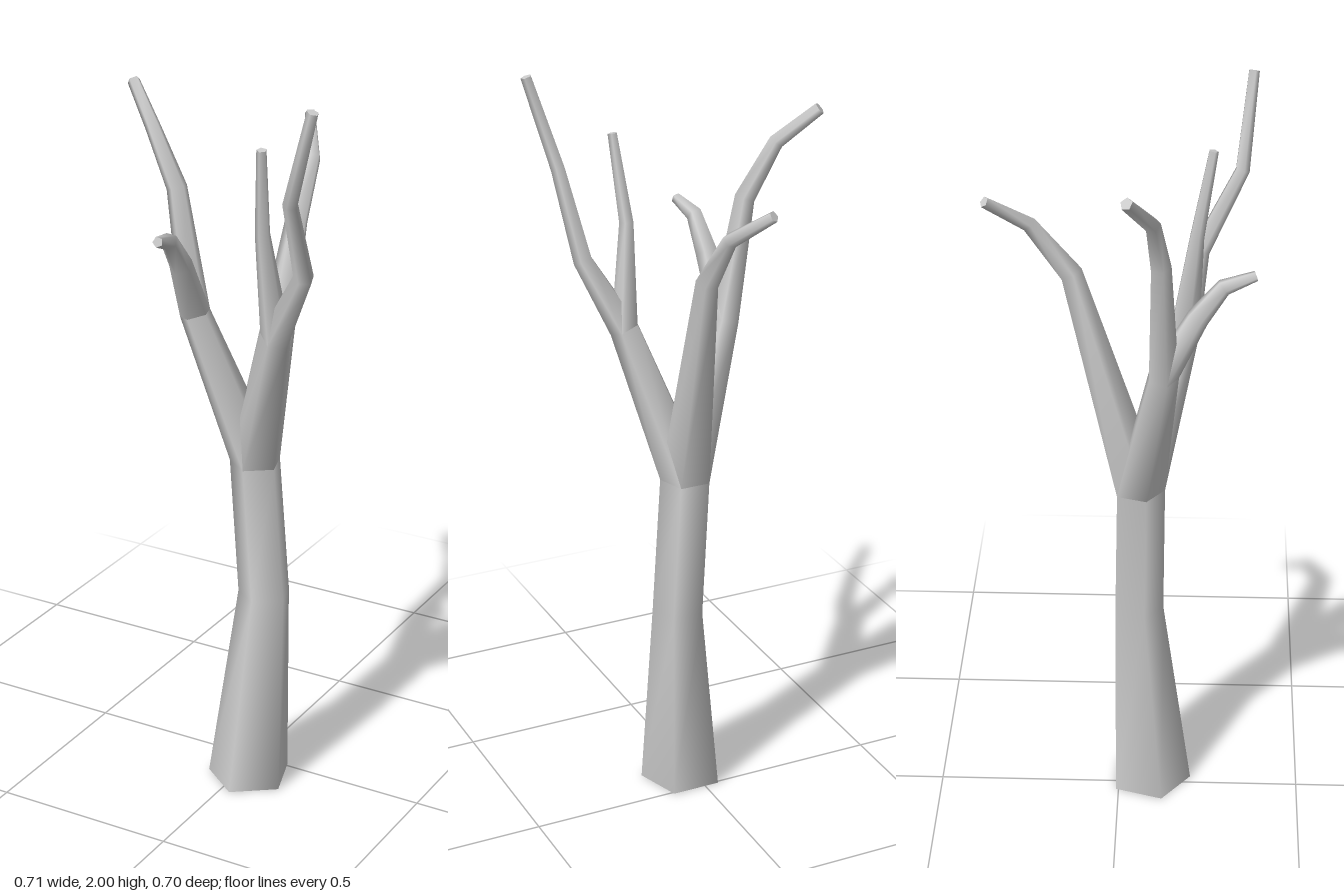
import * as THREE from 'three';

const SIDES = 5;
const UP = new THREE.Vector3(0, 1, 0);

// One pentagonal cross-section, perpendicular to dir, with a corner towards +z
function ring([x, y, z, r], dir) {
  const turn = new THREE.Quaternion().setFromUnitVectors(UP, dir);
  const centre = new THREE.Vector3(x, y, z);
  const points = [];
  for (let i = 0; i < SIDES; i++) {
    const a = (i / SIDES) * Math.PI * 2;
    points.push(new THREE.Vector3(Math.sin(a) * r, 0, Math.cos(a) * r).applyQuaternion(turn).add(centre));
  }
  return { points, centre };
}

// Rings along a path of [x, y, z, radius], continuing from an existing ring
function grow(start, path) {
  const centres = [start.centre, ...path.map(([x, y, z]) => new THREE.Vector3(x, y, z))];
  const rings = [start];
  path.forEach((p, k) => {
    const i = k + 1;
    const dir = centres[i].clone().sub(centres[i - 1]).normalize();
    if (i < centres.length - 1) dir.add(centres[i + 1].clone().sub(centres[i]).normalize()).normalize();
    rings.push(ring(p, dir));
  });
  return rings;
}

// Smooth skin over the rings, with optional flat end caps
function skin(name, rings, capStart, capEnd) {
  const position = [];
  const index = [];
  const add = (v) => position.push(v.x, v.y, v.z) / 3 - 1;
  rings.forEach((r) => r.points.forEach(add));
  for (let k = 0; k < rings.length - 1; k++) {
    for (let i = 0; i < SIDES; i++) {
      const j = (i + 1) % SIDES;
      const a = k * SIDES + i, b = k * SIDES + j;
      index.push(a, b, b + SIDES, a, b + SIDES, a + SIDES);
    }
  }
  const cap = (r, flip) => {
    const first = position.length / 3;
    r.points.forEach(add);
    for (let i = 1; i < SIDES - 1; i++) {
      if (flip) index.push(first, first + i + 1, first + i);
      else index.push(first, first + i, first + i + 1);
    }
  };
  if (capStart) cap(rings[0], true);
  if (capEnd) cap(rings[rings.length - 1], false);
  const geometry = new THREE.BufferGeometry();
  geometry.setAttribute('position', new THREE.Float32BufferAttribute(position, 3));
  geometry.setIndex(index);
  geometry.computeVertexNormals();
  const mesh = new THREE.Mesh(geometry, new THREE.MeshStandardMaterial({ color: 0xcccccc }));
  mesh.name = name;
  return mesh;
}

export function createModel() {
  const tree = new THREE.Group();
  tree.name = 'bareTree';

  // Trunk, ending at the level ring where the limbs part
  const trunk = [
    ring([0.028, 0, 0.086, 0.115], UP),
    ring([0.053, 0.55, 0.048, 0.072], UP),
    ring([0.028, 0.93, 0.052, 0.07], UP),
  ];
  tree.add(skin('trunk', trunk, true, false));
  const crown = trunk[2];

  // Three main limbs
  const rightLimb = grow(crown, [
    [-0.115, 1.34, 0.115, 0.042], [-0.17, 1.67, 0.108, 0.028],
    [-0.25, 1.815, 0.09, 0.021], [-0.343, 1.908, 0.03, 0.017],
  ]);
  const leftLimb = grow(crown, [
    [0.15, 1.34, 0.165, 0.042], [0.248, 1.53, 0.203, 0.027],
    [0.268, 1.75, 0.31, 0.02], [0.34, 1.996, 0.335, 0.015],
  ]);
  const backLimb = grow(crown, [
    [0.05, 1.55, -0.125, 0.031], [0.04, 1.69, -0.23, 0.021], [-0.026, 1.775, -0.336, 0.015],
  ]);
  tree.add(skin('rightLimb', rightLimb, false, true));
  tree.add(skin('leftLimb', leftLimb, false, true));
  tree.add(skin('backLimb', backLimb, false, true));

  // Side branches growing from the forks of the front limbs
  const rightBranch = grow(rightLimb[1], [
    [-0.105, 1.5, 0.2, 0.031], [-0.1, 1.585, 0.265, 0.023], [-0.083, 1.61, 0.346, 0.014],
  ]);
  const leftBranch = grow(leftLimb[1], [
    [0.128, 1.62, 0.195, 0.02], [0.147, 1.85, 0.235, 0.013],
  ]);
  tree.add(skin('rightSideBranch', rightBranch, false, true));
  tree.add(skin('leftSideBranch', leftBranch, false, true));

  return tree;
}
